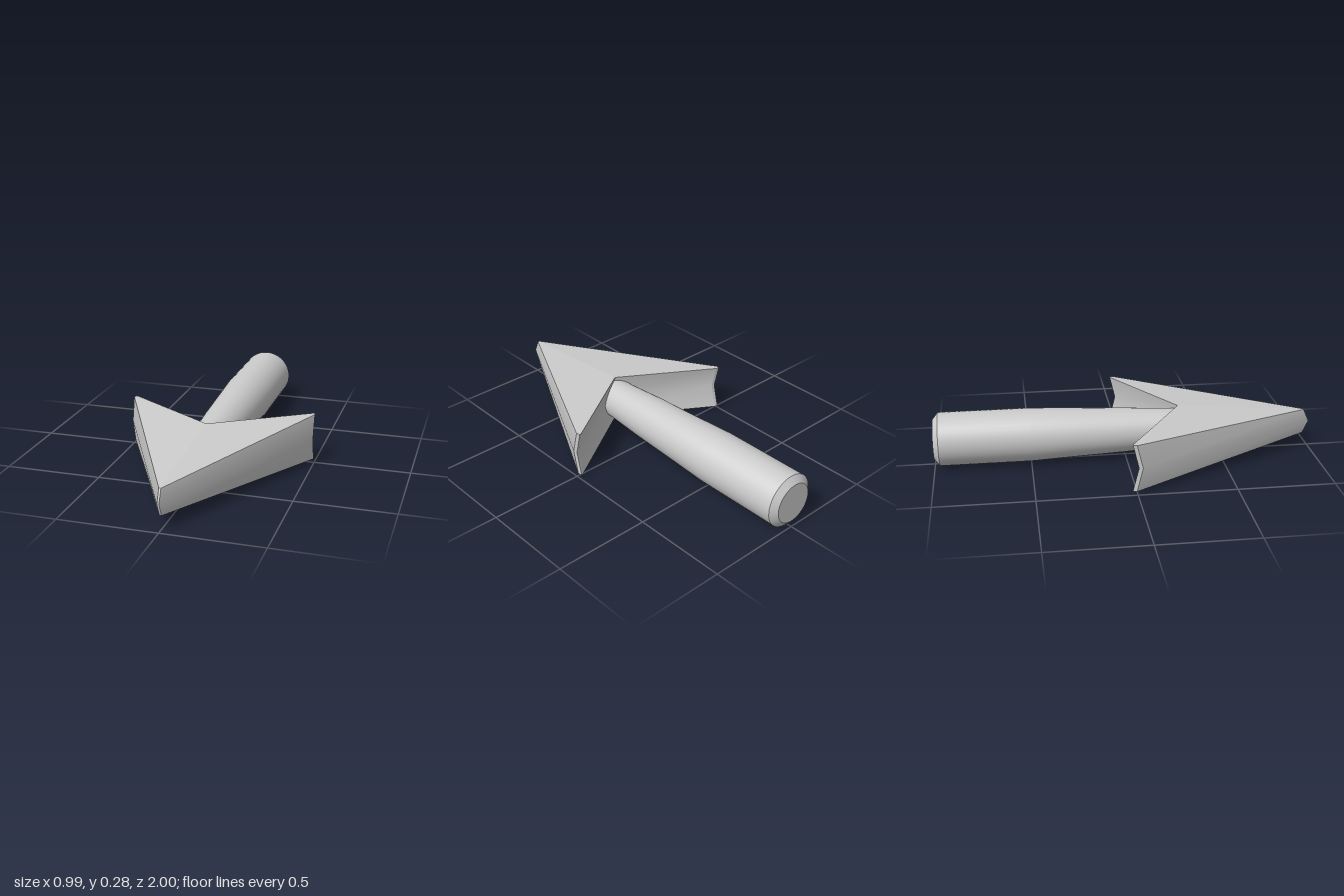
import * as THREE from 'three';
import { mergeGeometries } from 'three/addons/utils/BufferGeometryUtils.js';

const MID_Y = 0.14;

// Small geometry from points and triangle indices; flat faces when split
function patch(points, index, split) {
  let g = new THREE.BufferGeometry();
  g.setAttribute('position', new THREE.Float32BufferAttribute(points.flat(), 3));
  g.setIndex(index);
  g = split ? g.toNonIndexed() : g;
  g.computeVertexNormals();
  return g.index ? g.toNonIndexed() : g;
}

function headGeometry() {
  // Outline seen from above: [x, z, half height], one side then mirrored
  const half = [[0.005, 0.97, 0.067], [0.495, -0.005, 0.123], [0.49, -0.025, 0.123], [0.475, -0.02, 0.123]];
  const notch = [0, 0.28, 0.123];
  const outline = [...half, notch, ...half.map(([x, z, h]) => [-x, z, h]).reverse()];
  const n = outline.length;
  // The edge is pushed forward at mid height, giving the walls a shallow fold
  const at = ([x, z, h], t) => [x, MID_Y + t * h, z + 0.03 * (1 - Math.abs(t))];
  const parts = [];

  // Walls: one strip per outline edge, smooth over the fold
  const levels = [-1, 0, 1];
  for (let i = 0; i < n; i++) {
    const a = outline[i], b = outline[(i + 1) % n];
    const points = levels.flatMap((t) => [at(a, t), at(b, t)]);
    const index = [];
    for (let k = 0; k < levels.length - 1; k++) {
      const j = 2 * k;
      index.push(j, j + 1, j + 3, j, j + 3, j + 2);
    }
    parts.push(patch(points, index, false));
  }

  // Top and bottom: fans from the notch
  for (const t of [1, -1]) {
    const index = [];
    for (let k = 1; k < n - 1; k++) {
      const b = (4 + k) % n, c = (5 + k) % n;
      index.push(4, ...(t > 0 ? [b, c] : [c, b]));
    }
    parts.push(patch(outline.map((p) => at(p, t)), index, true));
  }
  return mergeGeometries(parts);
}

// Lathe sections, kept separate so the chamfer edges stay sharp
function shaftGeometry() {
  const sections = [
    [[0, -1], [0.105, -1]],
    [[0.105, -1], [0.14, -0.972]],
    [[0.14, -0.972], [0.14, -0.5], [0.128, -0.25], [0.117, 0], [0.103, 0.22], [0.1, 0.34]],
    [[0.1, 0.34], [0, 0.34]],
  ];
  const g = mergeGeometries(sections.map((s) =>
    new THREE.LatheGeometry(s.map(([r, z]) => new THREE.Vector2(r, z)), 40)));
  return g.rotateX(Math.PI / 2).translate(0, MID_Y, 0);
}

export function createModel() {
  const group = new THREE.Group();
  group.name = 'arrow';
  const material = new THREE.MeshStandardMaterial({ color: 0xcccccc });

  const head = new THREE.Mesh(headGeometry(), material);
  head.name = 'arrowHead';
  const shaft = new THREE.Mesh(shaftGeometry(), material);
  shaft.name = 'shaft';

  group.add(head, shaft);
  return group;
}
